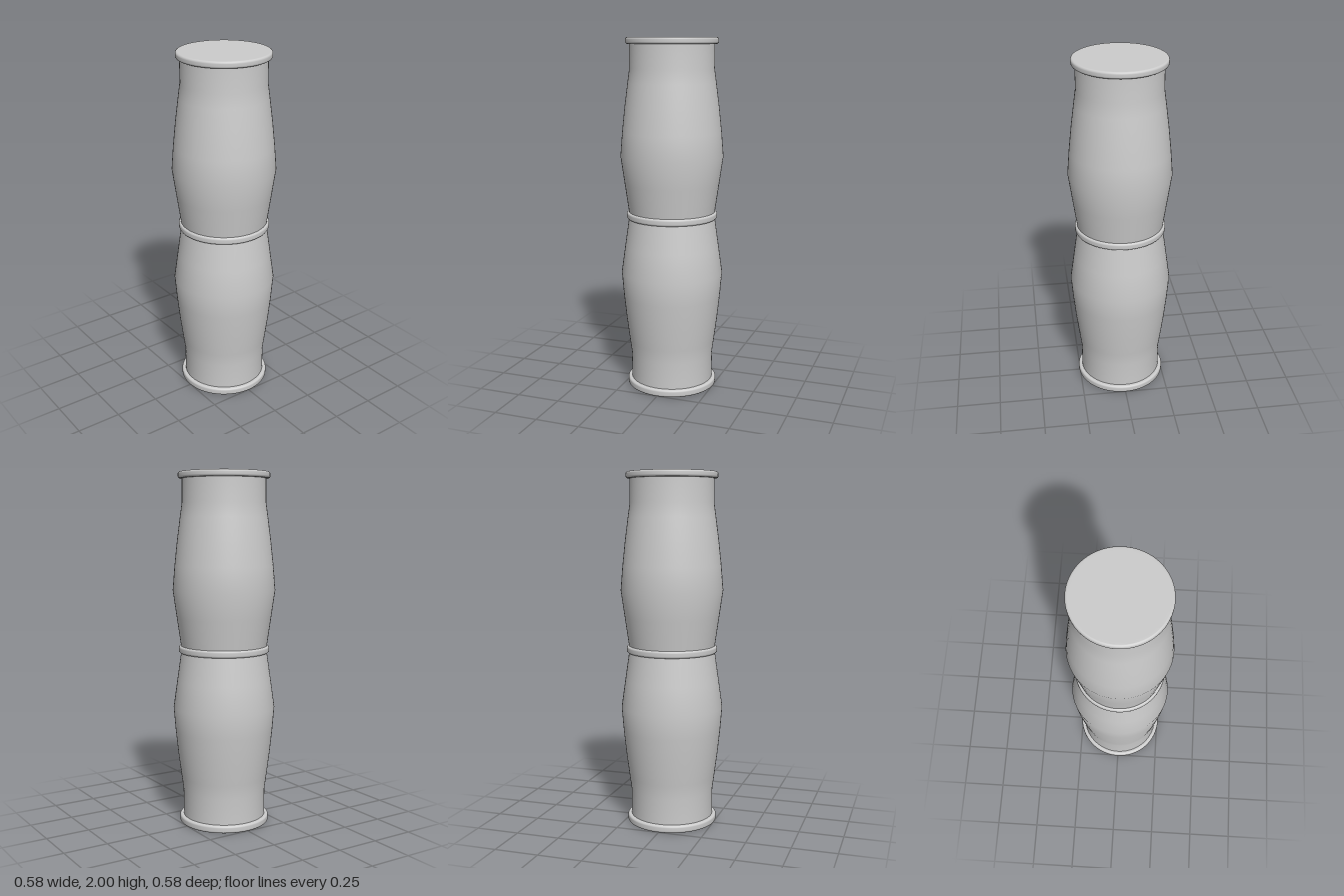
import * as THREE from 'three';

const SEGMENTS = 64;
const material = new THREE.MeshStandardMaterial({ color: 0xcccccc });

function addLathe(group, name, profile) {
  const points = profile.map(([r, y]) => new THREE.Vector2(r, y));
  const mesh = new THREE.Mesh(new THREE.LatheGeometry(points, SEGMENTS), material);
  mesh.name = name;
  group.add(mesh);
  return mesh;
}

// Flat disc facing up (1) or down (-1)
function addCap(group, name, radius, y, facing) {
  const mesh = new THREE.Mesh(new THREE.CircleGeometry(radius, SEGMENTS), material);
  mesh.name = name;
  mesh.rotation.x = -facing * Math.PI / 2;
  mesh.position.y = y;
  group.add(mesh);
}

// Band with rounded outer edges, closed back into the body
function addRing(group, name, bottom, top, inner) {
  const outer = 0.257, bevel = 0.012, profile = [[inner, bottom]];
  for (let i = 0; i <= 4; i++) {
    const a = -Math.PI / 2 + i * Math.PI / 8;
    profile.push([outer - bevel + bevel * Math.cos(a), bottom + bevel + bevel * Math.sin(a)]);
  }
  for (let i = 0; i <= 4; i++) {
    const a = i * Math.PI / 8;
    profile.push([outer - bevel + bevel * Math.cos(a), top - bevel + bevel * Math.sin(a)]);
  }
  profile.push([inner, top]);
  addLathe(group, name, profile);
}

export function createModel() {
  const group = new THREE.Group();
  group.name = 'column';

  // Upper section, from the waist out to the bulge and in to the neck
  const upper = [
    [0.242, 1.01], [0.245, 1.03], [0.268, 1.19], [0.29, 1.345],
    [0.279, 1.48], [0.264, 1.62], [0.247, 1.75], [0.236, 1.83], [0.235, 1.98],
  ];
  addLathe(group, 'upperBody', upper);

  // Lower section mirrors the upper one about the waist
  const lower = upper.map(([r, y]) => [r, 2.02 - y]).reverse();
  addLathe(group, 'lowerBody', lower);

  // Rims and middle band
  addRing(group, 'bottomRim', 0, 0.042, 0.23);
  addRing(group, 'middleBand', 0.99, 1.03, 0.23);
  addRing(group, 'topRim', 1.963, 2, 0.23);

  // End faces
  addCap(group, 'topCap', 0.246, 2, 1);
  addCap(group, 'bottomCap', 0.246, 0, -1);

  return group;
}
